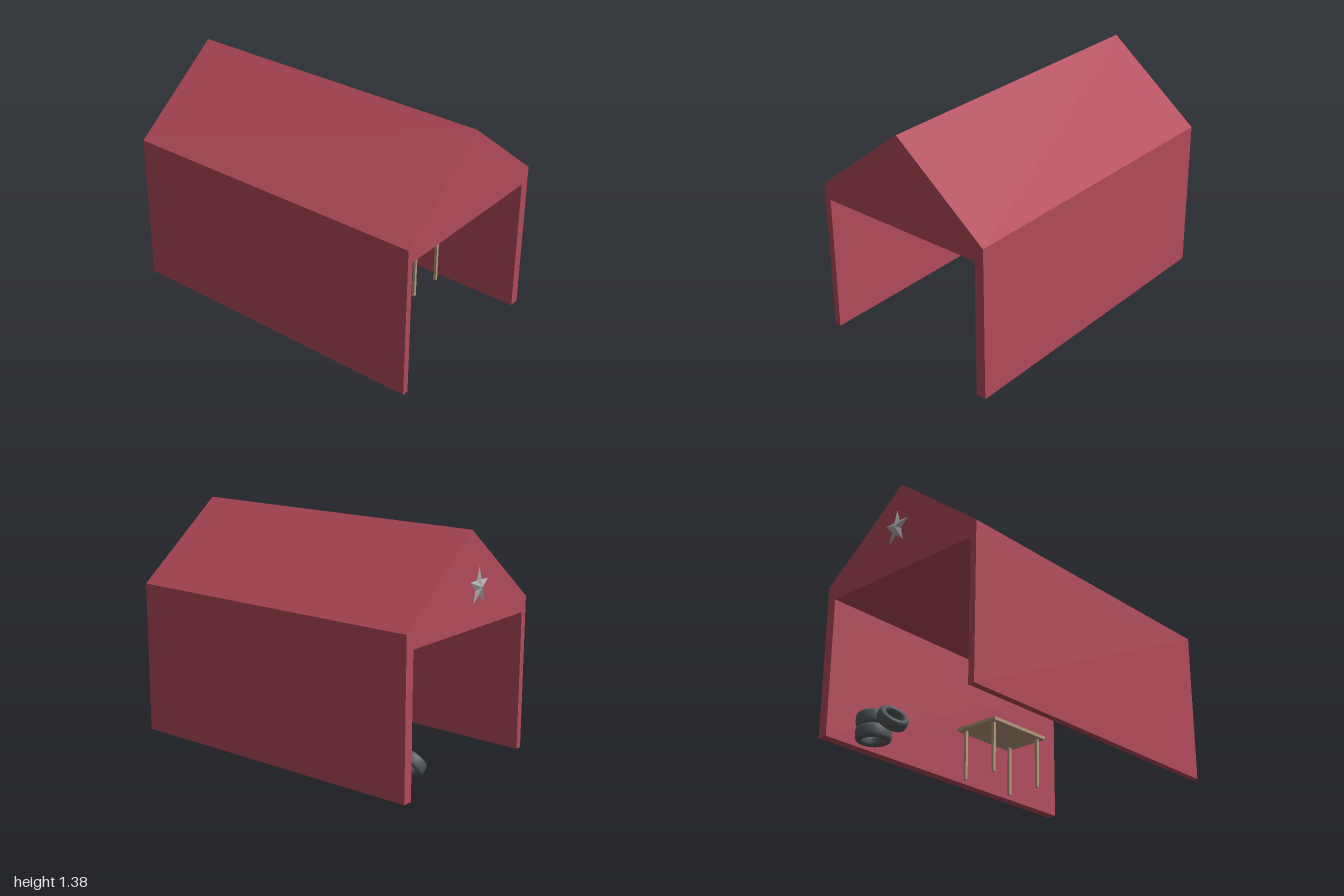
import * as THREE from 'three';

const mat = (color, flatShading = false) => new THREE.MeshStandardMaterial({ color, flatShading });

function add(parent, name, geometry, material, x = 0, y = 0, z = 0) {
  const mesh = new THREE.Mesh(geometry, material);
  mesh.name = name;
  mesh.position.set(x, y, z);
  parent.add(mesh);
  return mesh;
}

// Rounded tyre section swept round the y axis
function tyreGeometry() {
  const points = [];
  const soft = v => Math.sign(v) * Math.abs(v) ** 0.75;
  for (let i = 0; i <= 20; i++) {
    const a = -Math.PI + (i / 20) * Math.PI * 2;
    points.push(new THREE.Vector2(0.081 + 0.0215 * soft(Math.cos(a)), 0.041 * soft(Math.sin(a))));
  }
  return new THREE.LatheGeometry(points, 32);
}

// Five-pointed faceted star, its raised centre pointing towards -z
function starGeometry(rx, ry, depth) {
  const rim = i => {
    const a = Math.PI / 2 + (i * Math.PI) / 5, k = i % 2 ? 0.42 : 1;
    return [Math.cos(a) * rx * k, Math.sin(a) * ry * k, 0];
  };
  const v = [];
  for (let i = 0; i < 10; i++) {
    const a = rim(i), b = rim(i + 1);
    v.push(...b, ...a, 0, 0, -depth);
    v.push(...a, ...b, 0, 0, 0);
  }
  const g = new THREE.BufferGeometry();
  g.setAttribute('position', new THREE.Float32BufferAttribute(v, 3));
  g.computeVertexNormals();
  return g;
}

export function createModel() {
  const model = new THREE.Group();
  model.name = 'openShed';
  const red = mat(0xb24a5b, true), wood = mat(0xb39a7c), rubber = mat(0x53575a), metal = mat(0xaaaaaa, true);

  // Shed: walls and solid gable roof as one extruded outline
  const outline = new THREE.Shape([
    [-0.58, 0], [-0.54, 0], [-0.54, 0.83], [0.52, 0.83], [0.52, 0],
    [0.58, 0], [0.58, 0.92], [0, 1.38], [-0.58, 0.92],
  ].map(p => new THREE.Vector2(...p)));
  add(model, 'shed', new THREE.ExtrudeGeometry(outline, { depth: 1.938, bevelEnabled: false }), red, 0, 0, -0.938);

  // Star standing just off the back gable
  add(model, 'backStar', starGeometry(0.09, 0.113, 0.021), metal, -0.016, 1.074, -0.979);

  // Table along the left wall
  const table = new THREE.Group();
  table.name = 'table';
  model.add(table);
  add(table, 'tableTop', new THREE.BoxGeometry(0.305, 0.02, 0.46), wood, 0.347, 0.318, 0.29);
  for (const x of [0.233, 0.459])
    for (const z of [0.093, 0.485])
      add(table, 'tableLeg', new THREE.BoxGeometry(0.018, 0.309, 0.018), wood, x, 0.1545, z);

  // Two stacked tyres and a smaller one leaning on them
  const tyres = new THREE.Group();
  tyres.name = 'tyres';
  model.add(tyres);
  const tyre = tyreGeometry();
  for (const y of [0.041, 0.123]) add(tyres, 'stackedTyre', tyre, rubber, 0.397, y, -0.705);
  const leaning = add(tyres, 'leaningTyre', tyre, rubber, 0.226, 0.086, -0.725);
  leaning.quaternion.setFromUnitVectors(
    new THREE.Vector3(0, 1, 0), new THREE.Vector3(-0.78, 0.61, -0.15).normalize());
  leaning.scale.setScalar(0.87);

  return model;
}
